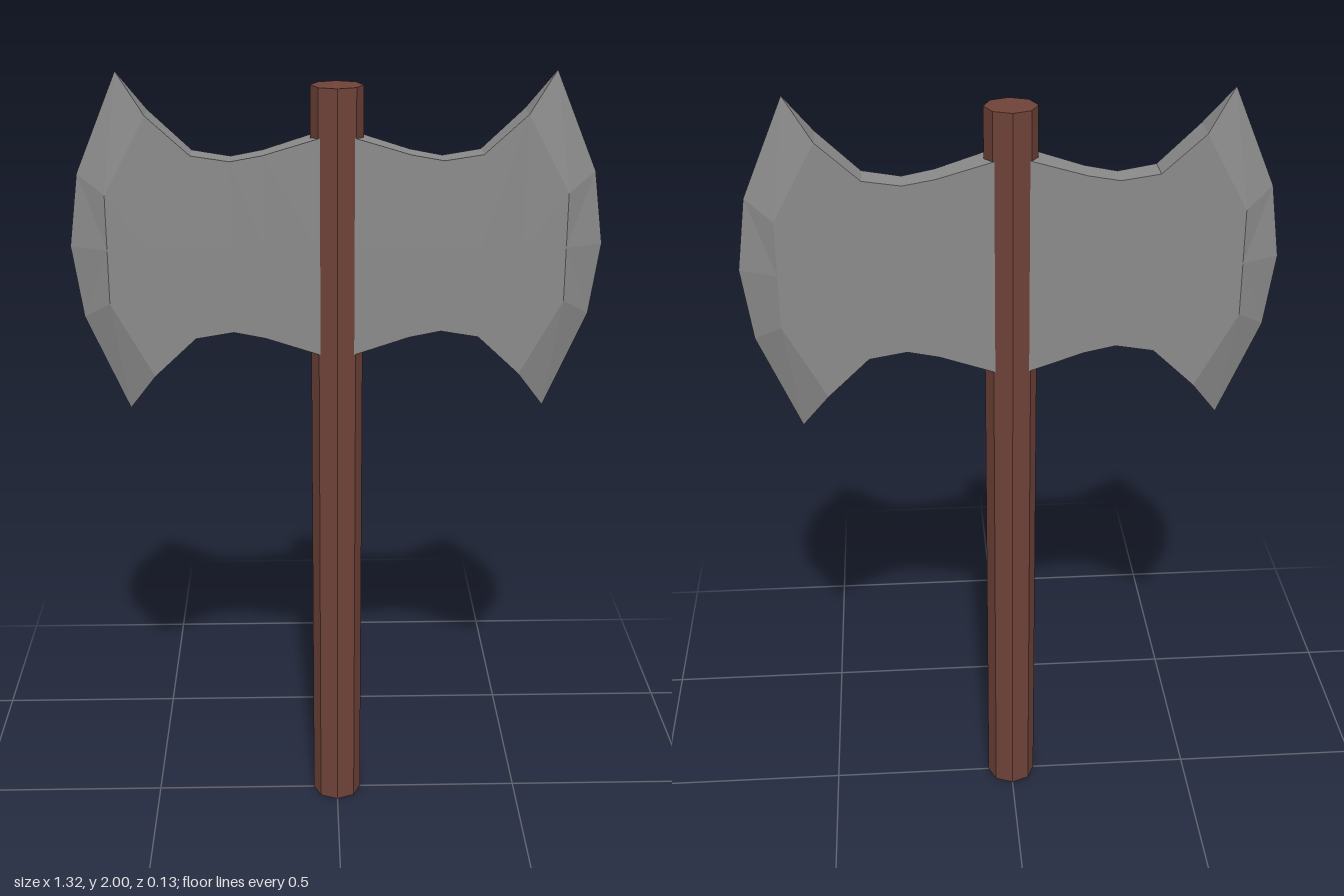
import * as THREE from 'three';

const MID_Y = 1.574; // height of the blade's line of symmetry

// One eighth of the double head (x, y, z all positive), y measured from MID_Y.
function eighthOfHead() {
  const tris = [];
  const quad = (a, b, c, d) => tris.push([a, b, c], [a, c, d]);

  // cross-sections from the handle outwards: x, half height, half thickness
  const sections = [
    [0, 0.284, 0.05], [0.05, 0.27, 0.047], [0.18, 0.23, 0.039], [0.26, 0.215, 0.036],
    [0.355, 0.23, 0.039], [0.46, 0.327, 0.045], [0.565, 0.136, 0.045],
  ];
  const last = sections.length - 1;
  for (let i = 0; i < last; i++) {
    const [x0, h0, d0] = sections[i];
    const [x1, h1, d1] = sections[i + 1];
    quad([x0, 0, d0], [x1, 0, d1], [x1, h1, d1], [x0, h0, d0]); // cheek
    if (i < last - 1) quad([x0, h0, d0], [x1, h1, d1], [x1, h1, 0], [x0, h0, 0]); // rim
  }

  // bevel running out to the sharp edge
  const horn = sections[last - 1], inner = sections[last];
  const tip = [0.53, 0.426, 0], edge = [0.635, 0.181, 0], belly = [0.66, 0, 0];
  tris.push([horn, tip, [horn[0], horn[1], 0]]);
  quad(inner, edge, tip, horn);
  quad([inner[0], 0, inner[2]], belly, edge, inner);
  return tris;
}

// Mirrors the eighth in y and z to make one full blade on the given side.
function bladeGeometry(sx) {
  const pos = [];
  for (const sy of [1, -1]) for (const sz of [1, -1]) {
    for (const [a, b, c] of eighthOfHead()) {
      const order = sx * sy * sz > 0 ? [a, b, c] : [a, c, b];
      for (const [x, y, z] of order) pos.push(x * sx, y * sy, z * sz);
    }
  }
  const geo = new THREE.BufferGeometry();
  geo.setAttribute('position', new THREE.Float32BufferAttribute(pos, 3));
  geo.computeVertexNormals();
  return geo;
}

export function createModel() {
  const group = new THREE.Group();
  group.name = 'doubleAxe';
  const wood = new THREE.MeshStandardMaterial({ color: 0x6e4238, flatShading: true });
  const steel = new THREE.MeshStandardMaterial({ color: 0x8a8a8a, flatShading: true });

  // eight-sided handle
  const handle = new THREE.Mesh(new THREE.CylinderGeometry(0.065, 0.065, 1.966, 8), wood);
  handle.name = 'handle';
  handle.position.y = 0.983;
  group.add(handle);

  // pair of blades
  for (const [name, sx] of [['leftBlade', 1], ['rightBlade', -1]]) {
    const blade = new THREE.Mesh(bladeGeometry(sx), steel);
    blade.name = name;
    blade.position.y = MID_Y;
    group.add(blade);
  }
  return group;
}
